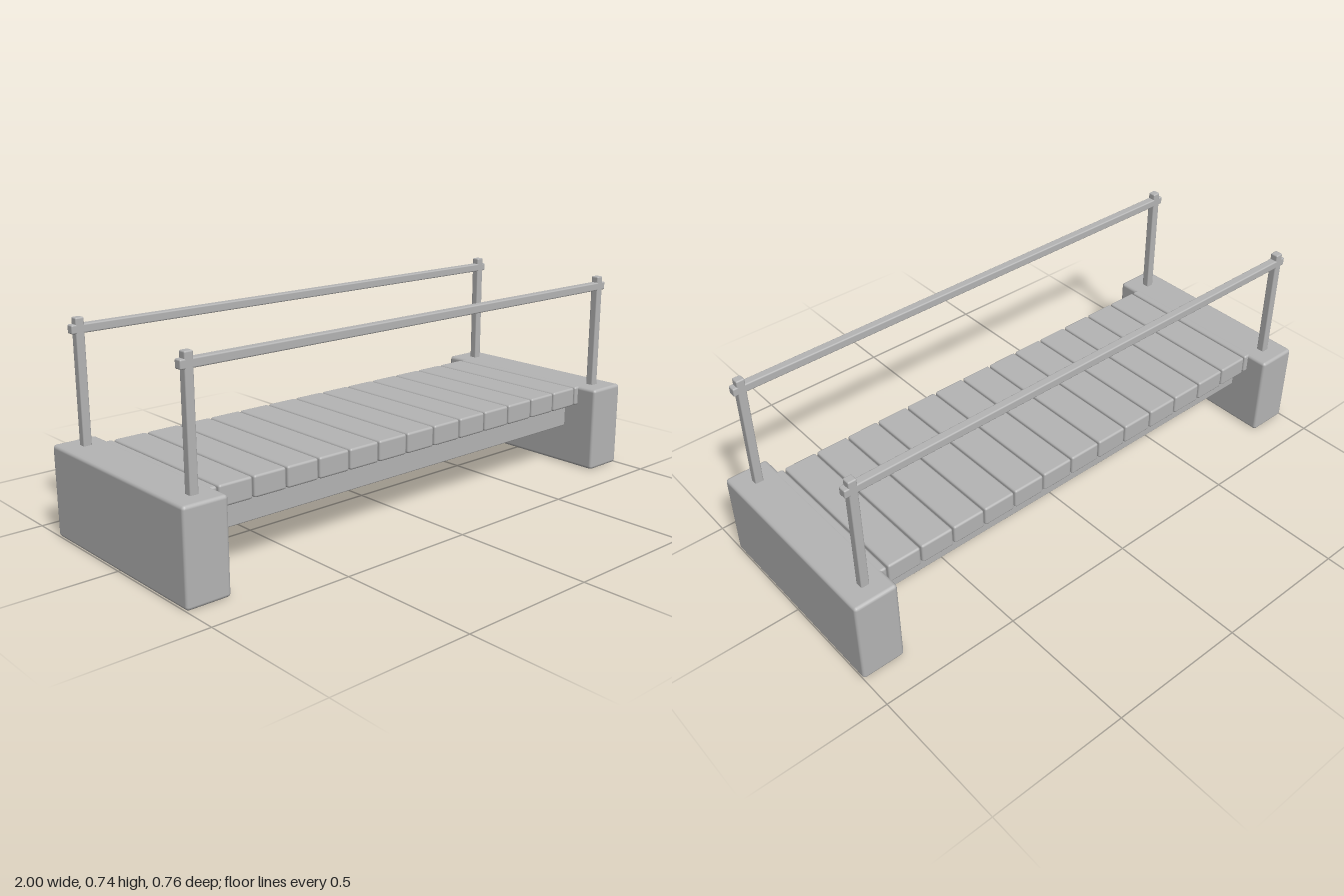
import * as THREE from 'three';
import { RoundedBoxGeometry } from 'three/addons/geometries/RoundedBoxGeometry.js';

export function createModel() {
  const bridge = new THREE.Group();
  bridge.name = 'footbridge';
  const grey = new THREE.MeshStandardMaterial({ color: 0xb4b4b4 });
  grey.name = 'plain grey';

  // Softly bevelled block given by its lower and upper limits on each axis
  function block(name, [x0, x1], [y0, y1], [z0, z1], radius) {
    const geometry = new RoundedBoxGeometry(x1 - x0, y1 - y0, z1 - z0, 2, radius);
    const mesh = new THREE.Mesh(geometry, grey);
    mesh.position.set((x0 + x1) / 2, (y0 + y1) / 2, (z0 + z1) / 2);
    mesh.name = name;
    bridge.add(mesh);
  }
  const around = (centre, width) => [centre - width / 2, centre + width / 2];

  const top = 0.317;      // walking surface
  const pitch = 0.127;    // plank spacing
  const railZ = 0.305;

  // End supports
  for (const side of [-1, 1]) {
    block(side > 0 ? 'leftAbutment' : 'rightAbutment',
      around(side * 0.9225, 0.155), [0, top], [-0.38, 0.38], 0.012);
  }

  // Deck planks; the outermost ones run into the supports
  for (let i = -7; i <= 7; i++) {
    block('plank', around(i * pitch, pitch - 0.006), [0.245, top - 0.0005], [-0.3, 0.3], 0.008);
  }

  for (const side of [-1, 1]) {
    const end = side > 0 ? 'front' : 'back';
    // Long beam under the deck
    block(end + 'Beam', [-0.88, 0.88], [0.15, 0.249], around(side * 0.21, 0.064), 0.004);
    // Handrail and its two posts
    block(end + 'Handrail', [-0.95, 0.95], [0.685, 0.715], around(side * railZ, 0.03), 0.005);
    for (const x of [-0.92, 0.92]) {
      block(end + 'Post', around(x, 0.03), [0.29, 0.737], around(side * railZ, 0.03), 0.005);
    }
  }
  return bridge;
}
